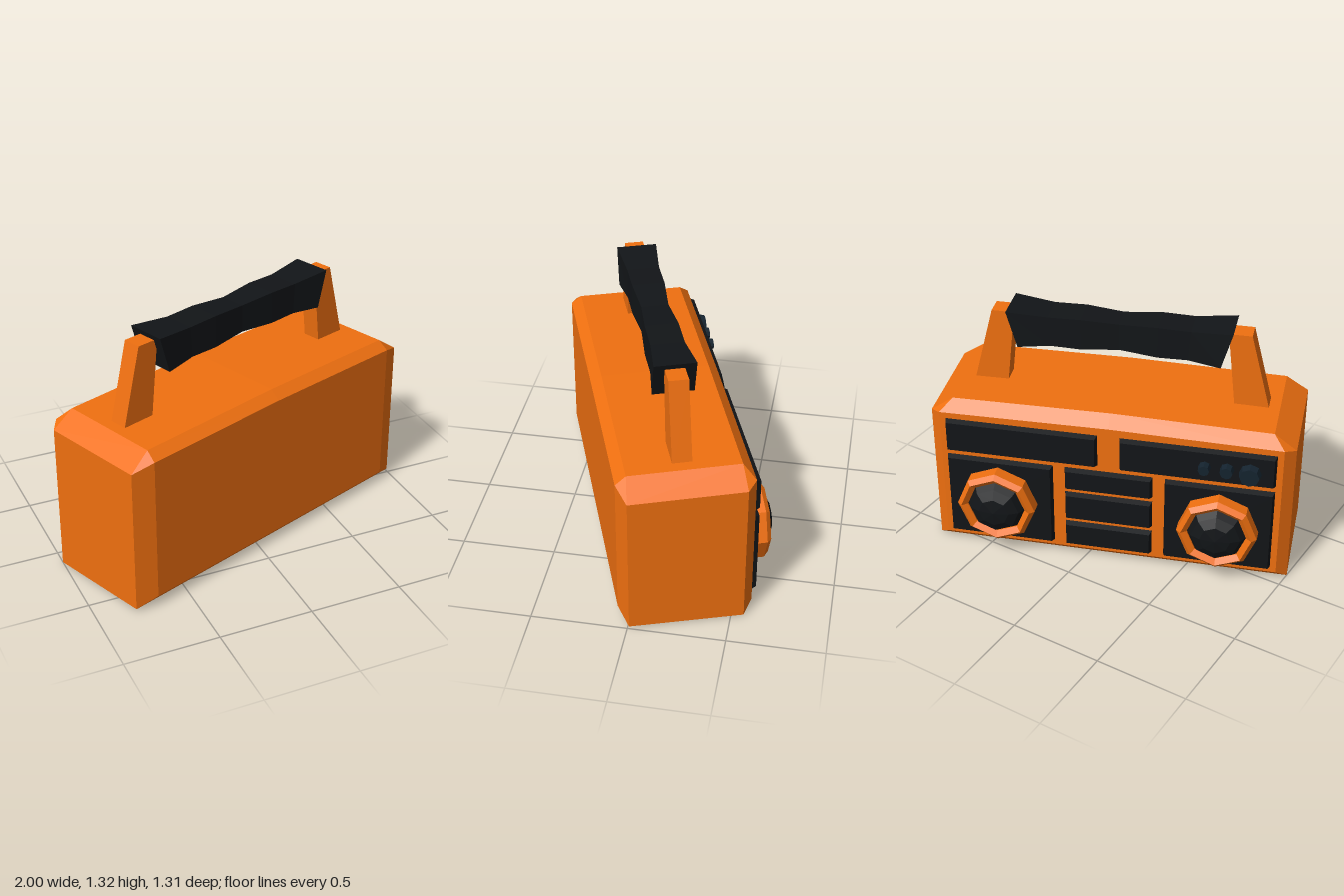
import * as THREE from 'three';

const mat = (color) => new THREE.MeshStandardMaterial({ color, flatShading: true });
const V = (x, y, z) => new THREE.Vector3(x, y, z);

// Skins a row of rings (running along +x, each ordered back, top, front, bottom) and caps both ends
function loft(rings) {
  const pos = [];
  const tri = (...pts) => {
    const area = new THREE.Triangle(...pts).getArea();
    if (area > 1e-7) pts.forEach((p) => pos.push(p.x, p.y, p.z));
  };
  const n = rings[0].length;
  for (let i = 0; i < rings.length - 1; i++) {
    for (let j = 0; j < n; j++) {
      const k = (j + 1) % n;
      const a = rings[i][j], b = rings[i][k], c = rings[i + 1][k], d = rings[i + 1][j];
      tri(a, b, c);
      tri(a, c, d);
    }
  }
  const first = rings[0], last = rings[rings.length - 1];
  for (let j = 1; j < n - 1; j++) {
    tri(first[0], first[j + 1], first[j]);
    tri(last[0], last[j], last[j + 1]);
  }
  const g = new THREE.BufferGeometry();
  g.setAttribute('position', new THREE.Float32BufferAttribute(pos, 3));
  g.computeVertexNormals();
  return g;
}

export function createModel() {
  const model = new THREE.Group();
  model.name = 'portableStereo';
  const stereo = new THREE.Group();
  stereo.name = 'stereo';
  stereo.rotation.y = THREE.MathUtils.degToRad(20);
  // the set is turned, so its own centre sits a little off the origin
  stereo.position.set(-0.017, 0, -0.006);
  model.add(stereo);

  const orange = mat(0xf07010), black = mat(0x121518), blue = mat(0x14232f);
  const add = (name, geo, material, parent = stereo) => {
    const m = new THREE.Mesh(geo, material);
    m.name = name;
    parent.add(m);
    return m;
  };

  // Case: chamfered block, slightly crowned in the middle. [z, y, half length, end z, end y]
  const section = [
    [-0.297, 0.05, 0.9, -0.245, 0],
    [-0.297, 0.82, 0.9, -0.245, 0.8],
    [-0.24, 0.882, 0.84, -0.245, 0.8],
    [0.33, 0.882, 0.84, 0.345, 0.8],
    [0.385, 0.838, 0.845, 0.345, 0.8],
    [0.385, 0.06, 0.845, 0.345, 0.015],
    [0.345, 0.015, 0.84, 0.345, 0.015],
    [-0.245, 0, 0.84, -0.245, 0],
  ];
  const endRing = (s) => section.map((p) => V(s * 0.957, p[4], p[3]));
  const shoulderRing = (s) => section.map((p) => V(s * p[2], p[1], p[0]));
  const midRing = section.map((p) => V(0, p[1] + (p[1] > 0.8 ? 0.012 : 0), p[0]));
  add('case', loft([endRing(-1), shoulderRing(-1), midRing, shoulderRing(1), endRing(1)]), orange);

  // Handle posts: leaning inwards and tapering towards the grip
  const handle = new THREE.Group();
  handle.name = 'handle';
  stereo.add(handle);
  for (const s of [-1, 1]) {
    const geo = new THREE.BoxGeometry(1, 1, 0.1);
    const p = geo.attributes.position;
    for (let i = 0; i < p.count; i++) {
      const top = p.getY(i) > 0;
      const outer = p.getX(i) * s > 0;
      const x = outer ? (top ? 0.677 : 0.79) : (top ? 0.558 : 0.606);
      p.setXYZ(i, s * x, top ? 1.29 : 0.85, p.getZ(i) + 0.047);
    }
    geo.computeVertexNormals();
    add(s > 0 ? 'leftHandlePost' : 'rightHandlePost', geo, orange, handle);
  }

  // Grip: wavy bar with slanted ends. [top x, bottom x, half width, top y, bottom y]
  const halfGrip = [
    [0.587, 0.53, 0.106, 1.318, 1.12],
    [0.37, 0.36, 0.085, 1.3, 1.135],
    [0.2, 0.2, 0.085, 1.304, 1.132],
  ];
  const gripRow = [
    ...halfGrip.map(([a, b, ...r]) => [-a, -b, ...r]),
    [0, 0, 0.07, 1.292, 1.145],
    ...halfGrip.slice().reverse(),
  ];
  add('grip', loft(gripRow.map(([xt, xb, w, yt, yb]) => [
    V(xb, yb, 0.046 - w), V(xt, yt, 0.046 - w), V(xt, yt, 0.046 + w), V(xb, yb, 0.046 + w),
  ])), black, handle);

  // Dark panels on the working face, with bevelled rims
  const panel = (name, x0, x1, y0, y1) => {
    const geo = new THREE.BoxGeometry(x1 - x0, y1 - y0, 0.04);
    const p = geo.attributes.position;
    for (let i = 0; i < p.count; i++) {
      if (p.getZ(i) > 0) continue;
      p.setX(i, p.getX(i) - Math.sign(p.getX(i)) * 0.012);
      p.setY(i, p.getY(i) - Math.sign(p.getY(i)) * 0.012);
    }
    geo.computeVertexNormals();
    add(name, geo, black).position.set((x0 + x1) / 2, (y0 + y1) / 2, -0.309);
  };
  panel('displayPanel', 0.056, 0.87, 0.6, 0.79);
  panel('controlPanel', -0.87, -0.056, 0.6, 0.79);
  panel('leftSpeakerPanel', 0.295, 0.87, 0.08, 0.57);
  panel('rightSpeakerPanel', -0.87, -0.295, 0.08, 0.57);
  [[0.44, 0.57], [0.25, 0.415], [0.08, 0.225]].forEach(([y0, y1], i) =>
    panel(`middlePanel${i + 1}`, -0.236, 0.236, y0, y1));

  // Speakers: octagonal ring around a shallow dome
  const ringProfile = [[0.15, 0], [0.155, 0.07], [0.185, 0.094], [0.21, 0.07], [0.21, 0]]
    .map(([r, h]) => new THREE.Vector2(r, h)).reverse();
  const domeProfile = [[0.158, 0], [0.156, 0.06], [0.13, 0.1], [0.08, 0.124], [0, 0.134]]
    .map(([r, h]) => new THREE.Vector2(r, h));
  for (const s of [-1, 1]) {
    const speaker = new THREE.Group();
    speaker.name = s > 0 ? 'leftSpeaker' : 'rightSpeaker';
    speaker.position.set(s * 0.588, 0.325, -0.325);
    speaker.rotation.x = -Math.PI / 2;
    stereo.add(speaker);
    const ringMat = orange.clone();
    ringMat.side = THREE.DoubleSide;
    const domeMat = black.clone();
    domeMat.side = THREE.DoubleSide;
    add('speakerRing', new THREE.LatheGeometry(ringProfile, 8), ringMat, speaker);
    add('speakerDome', new THREE.LatheGeometry(domeProfile, 8), domeMat, speaker);
  }

  // Control knobs
  [[-0.505, 0.695, 0.034], [-0.62, 0.695, 0.038], [-0.738, 0.685, 0.06]].forEach(([x, y, r], i) => {
    const knob = add(`knob${i + 1}`, new THREE.CylinderGeometry(r * 0.85, r, 0.05, 8), blue);
    knob.rotation.x = -Math.PI / 2;
    knob.position.set(x, y, -0.345);
  });

  return model;
}
